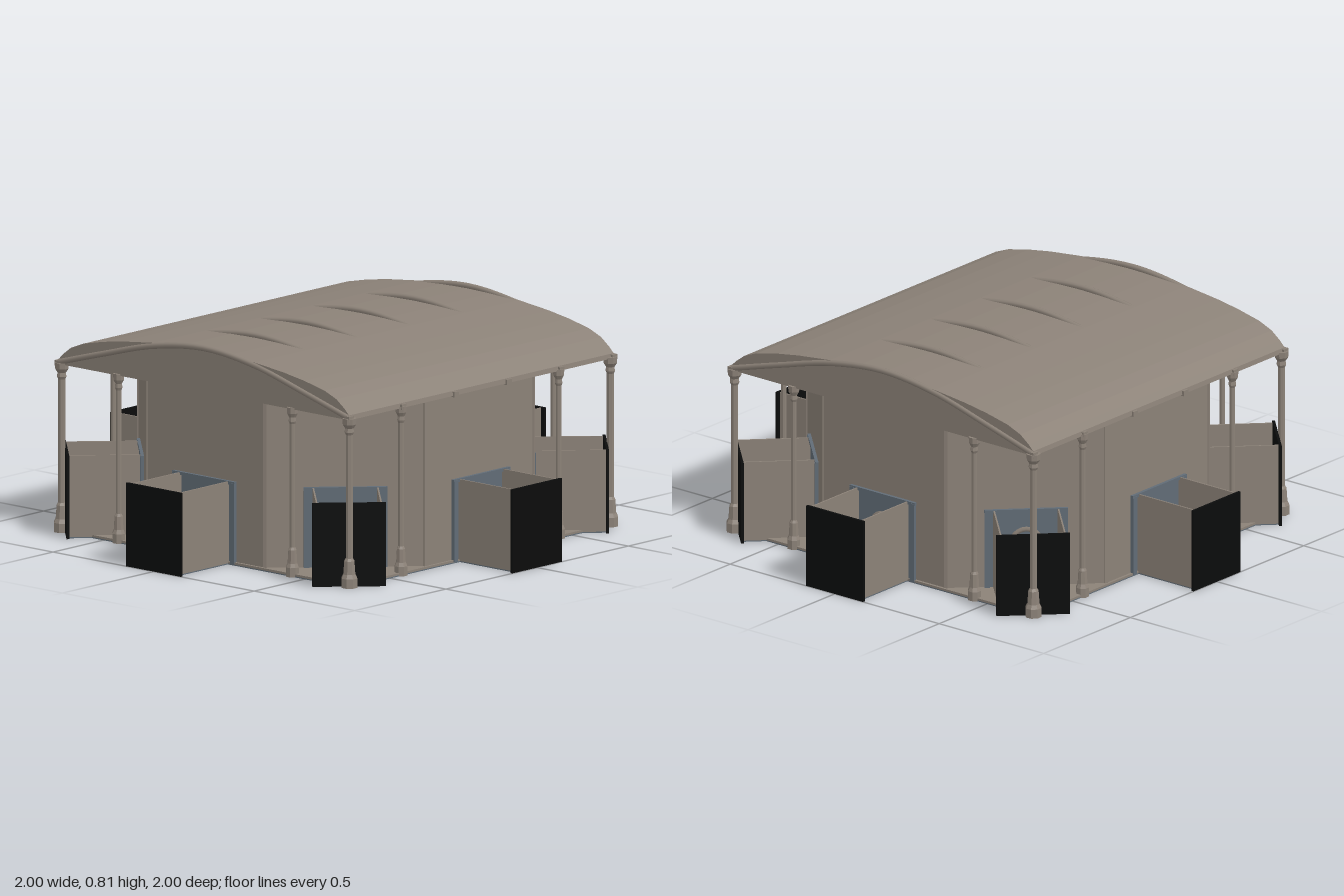
import * as THREE from 'three';

const mat = (name, color) => new THREE.MeshStandardMaterial({ name, color });

export function createModel() {
  const stone = mat('warm stone', 0x8c8278);
  const steel = mat('blue grey steel', 0x616c76);
  const black = mat('black screen', 0x0b0c0c);

  const root = new THREE.Group();
  root.name = 'pavilion';

  const add = (parent, name, geo, material, x = 0, y = 0, z = 0) => {
    const m = new THREE.Mesh(geo, material);
    m.name = name;
    m.position.set(x, y, z);
    parent.add(m);
    return m;
  };
  const box = (parent, name, w, h, d, material, x, y, z) =>
    add(parent, name, new THREE.BoxGeometry(w, h, d), material, x, y, z);
  const faceted = (geo) => {
    const g = geo.toNonIndexed();
    g.computeVertexNormals();
    return g;
  };

  const APOTHEM = 0.715, EAVE = 0.635, TURN = Math.PI / 4;
  const cornerR = APOTHEM / Math.cos(Math.PI / 8);

  // Square base: stone on top, steel underneath
  box(root, 'floor', 1.45, 0.008, 1.45, stone, 0, 0.008, 0);
  box(root, 'floorUnderside', 1.45, 0.004, 1.45, steel, 0, 0.002, 0);

  // Octagonal hall
  const hall = new THREE.CylinderGeometry(cornerR, cornerR, EAVE - 0.01, 8, 1, false, Math.PI / 8);
  add(root, 'octagonWalls', faceted(hall), stone, 0, (EAVE + 0.01) / 2, 0);

  // Eight identical open booths, one on each wall
  for (let i = 0; i < 8; i++) {
    const booth = new THREE.Group();
    booth.name = 'booth';
    booth.rotation.y = i * TURN;
    root.add(booth);
    const depth = 0.995 - APOTHEM, mid = APOTHEM + depth / 2;

    box(booth, 'boothFloor', 0.24, 0.008, depth, stone, 0, 0.008, mid);
    box(booth, 'boothUnderside', 0.24, 0.004, depth, steel, 0, 0.002, mid);
    box(booth, 'frontScreen', 0.272, 0.315, 0.01, black, 0, 0.1575, 0.995);
    box(booth, 'doorPanel', 0.27, 0.3, 0.006, steel, 0, 0.16, APOTHEM + 0.002);
    box(booth, 'doorLintel', 0.31, 0.012, 0.014, steel, 0, 0.309, APOTHEM + 0.005);
    for (const s of [-1, 1]) {
      box(booth, 'boothSide', 0.006, 0.305, depth, stone, s * 0.119, 0.16, mid);
      box(booth, 'doorJamb', 0.02, 0.305, 0.016, steel, s * 0.144, 0.1575, APOTHEM + 0.006);
    }
    // raised arch on the door
    add(booth, 'doorArch', new THREE.TorusGeometry(0.055, 0.012, 4, 12, Math.PI), stone,
      0, 0.18, APOTHEM + 0.004).scale.z = 0.4;

    // corner strip between two walls
    const strip = new THREE.Group();
    strip.name = 'cornerStrip';
    strip.rotation.y = (i + 0.5) * TURN;
    root.add(strip);
    box(strip, 'cornerStripBar', 0.014, EAVE - 0.01, 0.012, stone, 0, (EAVE + 0.01) / 2, cornerR - 0.004);
  }

  // Columns: flared foot, thin shaft, spreading capital
  const profile = [
    [0, 0], [0.025, 0], [0.025, 0.035], [0.019, 0.05], [0.016, 0.1], [0.011, 0.11],
    [0.011, 0.575], [0.015, 0.585], [0.013, 0.6], [0.021, 0.615], [0.022, 0.638], [0, 0.638],
  ].map(([x, y]) => new THREE.Vector2(x, y));
  const columnGeo = faceted(new THREE.LatheGeometry(profile, 8, Math.PI / 8));
  const column = (name, x, z, k) => add(root, name, columnGeo, stone, x, 0, z).scale.set(k, 1, k);
  for (const sx of [-1, 1]) for (const sz of [-1, 1]) {
    column('cornerColumn', sx * 0.715, sz * 0.715, 1.25);
    column('endColumn', sx * 0.432, sz * 0.715, 1);
    column('sideColumn', sx * 0.715, sz * 0.432, 1);
  }

  // Vaulted roof with closed gable ends
  const half = [[0.725, 0.632], [0.722, 0.65], [0.7, 0.672], [0.66, 0.702], [0.6, 0.726],
    [0.5, 0.748], [0.4, 0.764], [0.25, 0.781], [0.12, 0.789], [0, 0.791]];
  const outline = [...half, ...half.slice(0, -1).reverse().map(([x, y]) => [-x, y])];
  const roofShape = new THREE.Shape(outline.map(([x, y]) => new THREE.Vector2(x, y)));
  const roofGeo = new THREE.ExtrudeGeometry(roofShape, { depth: 1.45, bevelEnabled: false });
  add(root, 'vaultedRoof', roofGeo, stone, 0, 0, -0.725);

  // Arched ribs that break through the roof near the ridge
  const ribCurve = new THREE.CatmullRomCurve3(
    [[-0.72, 0.64], [-0.5, 0.703], [-0.25, 0.769], [0, 0.797], [0.25, 0.769], [0.5, 0.703], [0.72, 0.64]]
      .map(([x, y]) => new THREE.Vector3(x, y, 0)));
  const ribGeo = new THREE.TubeGeometry(ribCurve, 32, 0.012, 8);
  for (let i = 0; i < 6; i++) {
    const z = -0.722 + i * 0.2888;
    add(root, 'roofRib', ribGeo, stone, 0, 0, z);
    for (const s of [-1, 1]) box(root, 'ribEnd', 0.018, 0.02, 0.026, stone, s * 0.723, 0.637, z);
  }
  return root;
}
